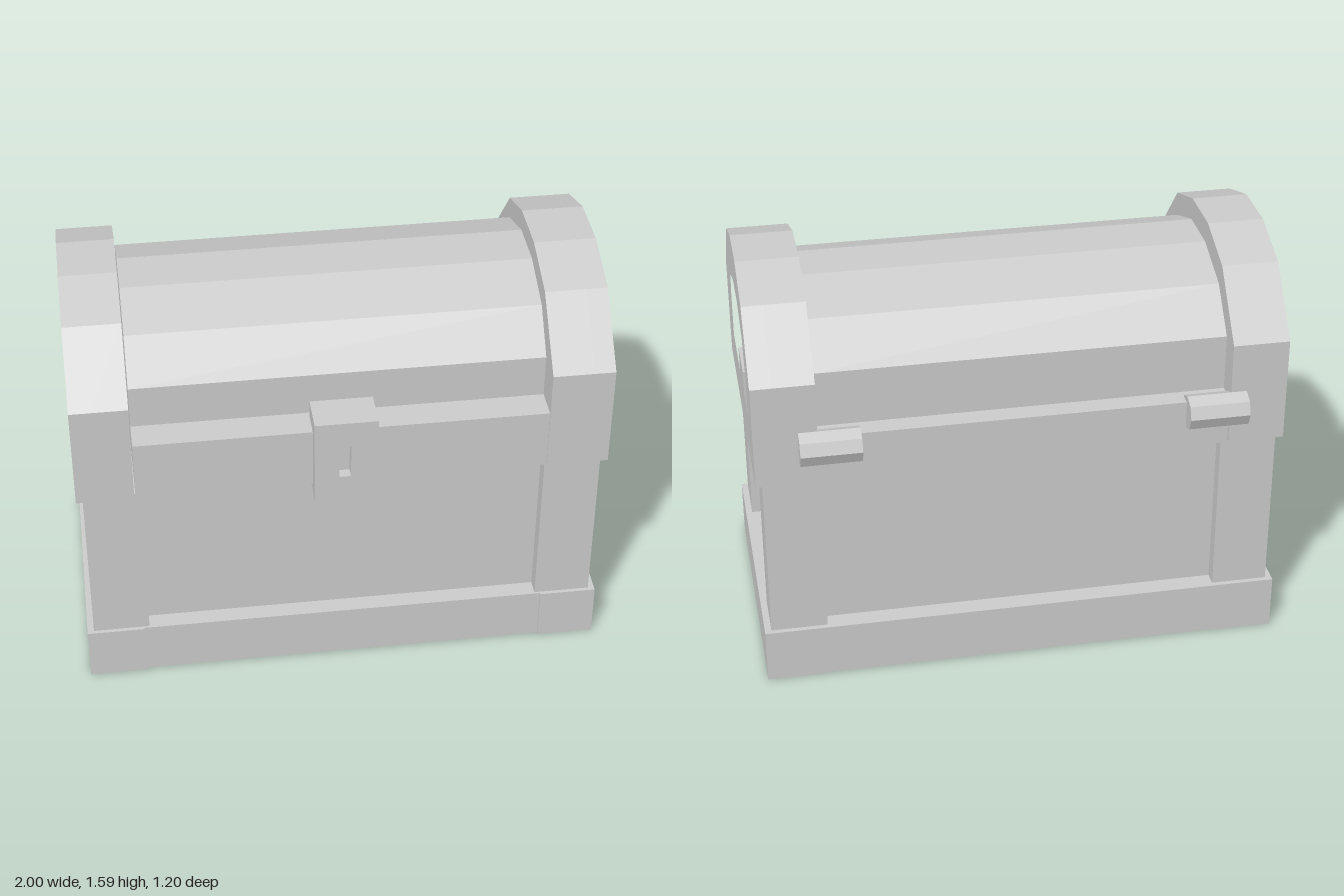
import * as THREE from 'three';

const grey = new THREE.MeshStandardMaterial({ color: 0xcccccc, flatShading: true });

function add(group, name, geometry) {
  const mesh = new THREE.Mesh(geometry, grey);
  mesh.name = name;
  group.add(mesh);
  return mesh;
}

// Box given by its limits on each axis
function box(x0, x1, y0, y1, z0, z1) {
  return new THREE.BoxGeometry(x1 - x0, y1 - y0, z1 - z0)
    .translate((x0 + x1) / 2, (y0 + y1) / 2, (z0 + z1) / 2);
}

// Side profile of [z, y] points, swept along x from x0 to x1
const toVectors = (points) => points.map(([z, y]) => new THREE.Vector2(-z, y));
function sweep(points, x0, x1, hole) {
  const shape = new THREE.Shape(toVectors(points));
  if (hole) shape.holes.push(new THREE.Path(toVectors(hole)));
  return new THREE.ExtrudeGeometry(shape, { depth: x1 - x0, bevelEnabled: false })
    .rotateY(Math.PI / 2)
    .translate(x0, 0, 0);
}

export function createModel() {
  const chest = new THREE.Group();
  chest.name = 'chest';

  // Base plinth: two end blocks and a slightly set-back middle
  add(chest, 'baseMiddle', box(-0.78, 0.78, 0.004, 0.215, -0.535, 0.543));
  for (const s of [-1, 1]) {
    add(chest, 'baseEnd', box(Math.min(s, s * 0.78), Math.max(s, s * 0.78), 0, 0.215, -0.535, 0.55));
  }

  // Inset body panels and corner posts
  add(chest, 'bodyPanels', box(-0.92, 0.92, 0.2, 0.88, -0.46, 0.475));
  for (const s of [-1, 1]) {
    const x0 = s < 0 ? -0.975 : 0.76;
    add(chest, 'frontPost', box(x0, x0 + 0.215, 0.2, 0.88, 0.325, 0.535));
    add(chest, 'backPost', box(x0, x0 + 0.215, 0.2, 0.88, -0.515, -0.32));
  }

  // Faceted barrel lid together with its rim
  const barrel = [
    [-0.53, 0.87], [0.545, 0.87], [0.545, 1.11], [0.425, 1.11], [0.425, 1.28], [0.3, 1.43],
    [0.1, 1.505], [-0.1, 1.505], [-0.31, 1.43], [-0.45, 1.28], [-0.45, 1.06], [-0.53, 1.06],
  ];
  add(chest, 'lidBarrel', sweep(barrel, -0.78, 0.77));

  // End arches: a solid inner layer and an outer layer with an arched recess
  const arch = [
    [-0.53, 0.87], [0.55, 0.87], [0.55, 1.28], [0.335, 1.51],
    [0.115, 1.585], [-0.11, 1.585], [-0.325, 1.51], [-0.53, 1.28],
  ];
  const recess = [
    [-0.33, 1.06], [0.305, 1.06], [0.305, 1.235], [0.265, 1.35],
    [0.09, 1.41], [-0.085, 1.41], [-0.26, 1.35], [-0.33, 1.235],
  ];
  add(chest, 'leftArch', sweep(arch, 0.765, 0.92));
  add(chest, 'leftArchFrame', sweep(arch, 0.92, 1, recess));
  add(chest, 'rightArch', sweep(arch, -0.92, -0.785));
  add(chest, 'rightArchFrame', sweep(arch, -1, -0.92, recess));

  // Lock plate with clipped lower corners and a sunken keyhole
  const plate = new THREE.Shape([
    [-0.12, 0.83], [-0.08, 0.785], [0.075, 0.785], [0.115, 0.83], [0.115, 1.18], [-0.12, 1.18],
  ].map(([x, y]) => new THREE.Vector2(x, y)));
  const backing = new THREE.ExtrudeGeometry(plate, { depth: 0.11, bevelEnabled: false });
  add(chest, 'lockBody', backing.translate(0, 0, 0.45));
  const face = plate.clone();
  face.holes.push(new THREE.Path([
    [-0.028, 0.935], [0.015, 0.935], [0.015, 1.075], [-0.028, 1.075],
  ].map(([x, y]) => new THREE.Vector2(x, y))));
  const front = new THREE.ExtrudeGeometry(face, { depth: 0.04, bevelEnabled: false });
  add(chest, 'lockPlate', front.translate(0, 0, 0.56));

  // Octagonal hinge barrels at the back
  for (const x of [-0.73, 0.722]) {
    const hinge = new THREE.CylinderGeometry(0.067, 0.067, 0.228, 8).rotateZ(Math.PI / 2);
    add(chest, 'hinge', hinge.translate(x, 1.02, -0.533));
  }

  return chest;
}
